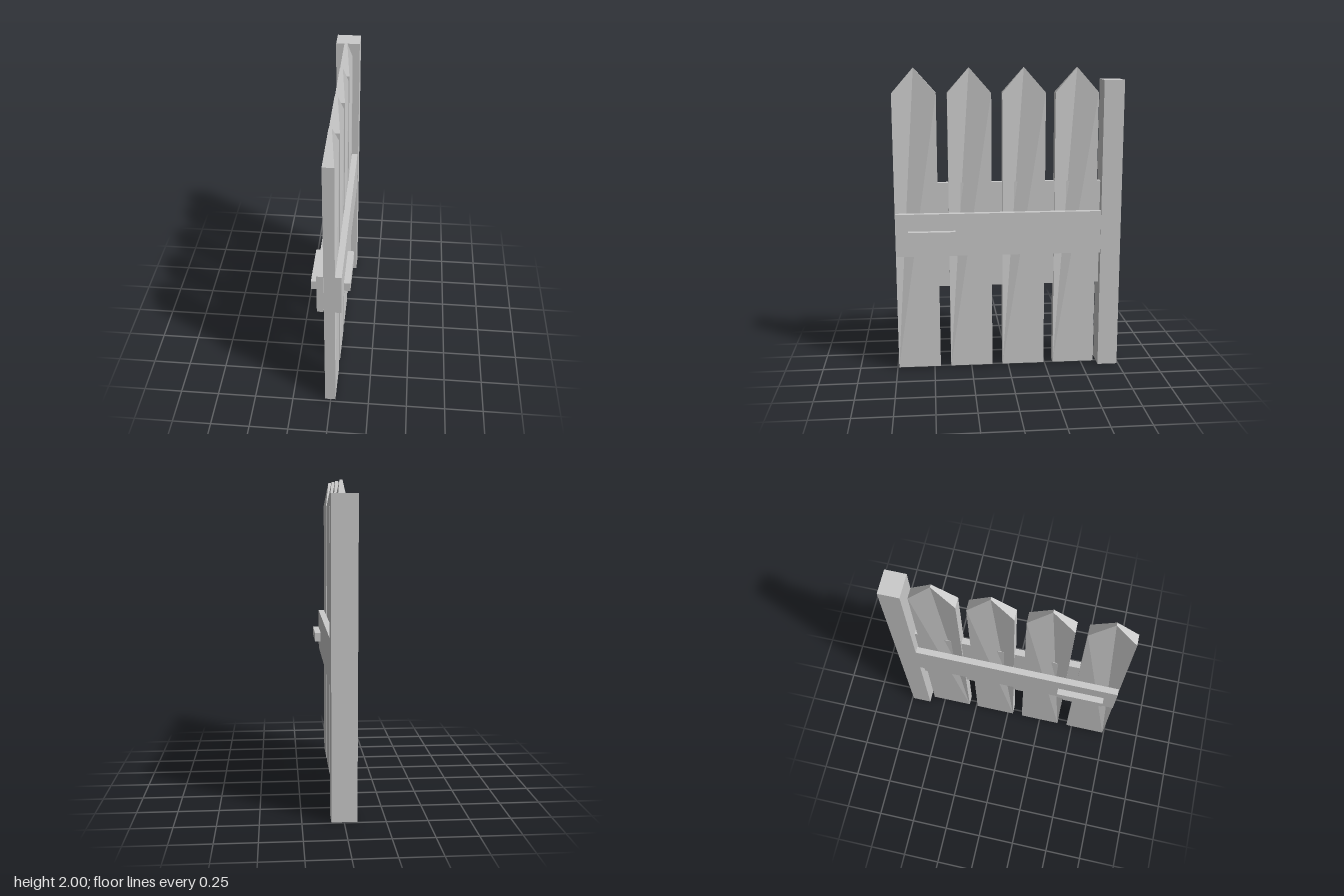
import * as THREE from 'three';

const material = new THREE.MeshStandardMaterial({ color: 0xcccccc, flatShading: true });

// Box given by its minimum and maximum on each axis
function box(name, [x0, x1], [y0, y1], [z0, z1]) {
  const mesh = new THREE.Mesh(new THREE.BoxGeometry(x1 - x0, y1 - y0, z1 - z0), material);
  mesh.position.set((x0 + x1) / 2, (y0 + y1) / 2, (z0 + z1) / 2);
  mesh.name = name;
  return mesh;
}

// Pointed board: a five-sided outline whose tip also thins sideways
function picketGeometry(width, thickness, shoulder, peak, tipThickness) {
  const h = width / 2;
  const outline = new THREE.Shape([
    new THREE.Vector2(-h, 0.01),
    new THREE.Vector2(h, 0.01),
    new THREE.Vector2(h, shoulder),
    new THREE.Vector2(0, peak),
    new THREE.Vector2(-h, shoulder),
  ]);
  const geo = new THREE.ExtrudeGeometry(outline, { depth: thickness, bevelEnabled: false });
  geo.translate(0, 0, -thickness / 2).rotateY(Math.PI / 2);
  const p = geo.attributes.position;
  for (let i = 0; i < p.count; i++) {
    if (p.getY(i) > peak - 0.01) p.setX(i, Math.sign(p.getX(i)) * tipThickness / 2);
  }
  geo.computeVertexNormals();
  return geo;
}

export function createModel() {
  const gate = new THREE.Group();
  gate.name = 'picketGate';

  // Hinge post at the back
  gate.add(box('post', [-0.079, 0.076], [0, 1.92], [-0.74, -0.608]));

  // Pickets
  const picket = picketGeometry(0.28, 0.068, 1.84, 2, 0.018);
  [0.6, 0.25, -0.1, -0.443].forEach((z, i) => {
    const mesh = new THREE.Mesh(picket, material);
    mesh.position.set(-0.002, 0, z);
    mesh.name = `picket${i + 1}`;
    gate.add(mesh);
  });

  // Thin panel running through the pickets
  gate.add(box('innerPanel', [-0.024, 0.018], [0.57, 1.265], [-0.608, 0.6]));

  // Cross rail and handle on each face
  gate.add(box('leftRail', [0.032, 0.072], [0.79, 1.07], [-0.61, 0.735]));
  gate.add(box('rightRail', [-0.079, -0.038], [0.79, 1.07], [-0.61, 0.735]));
  gate.add(box('leftHandle', [0.078, 0.118], [0.9, 0.96], [0.35, 0.655]));
  gate.add(box('rightHandle', [-0.121, -0.081], [0.9, 0.96], [0.35, 0.655]));

  return gate;
}
